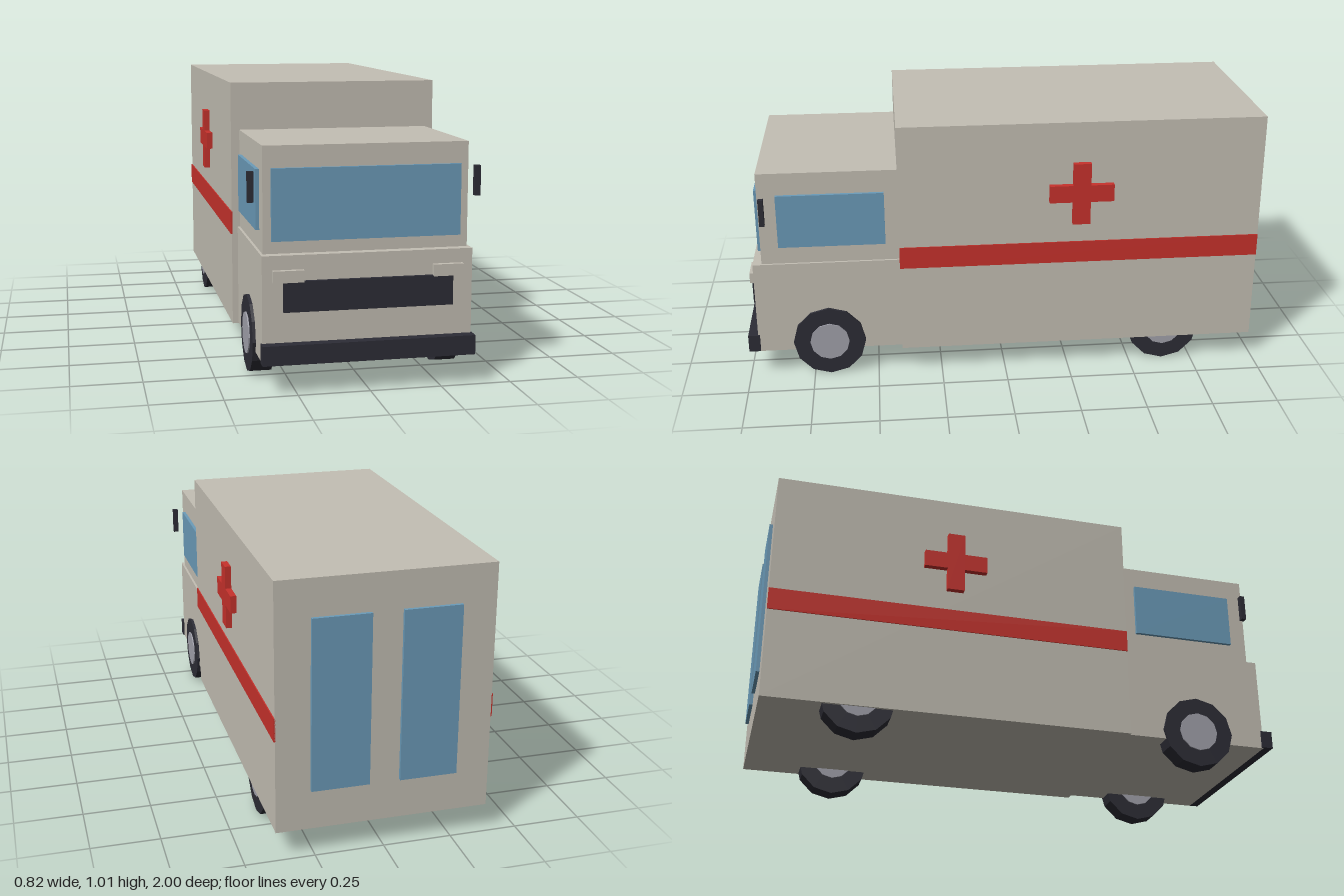
import * as THREE from 'three';

const mat = (name, color) => {
  const m = new THREE.MeshStandardMaterial({ color });
  m.name = name;
  return m;
};

export function createModel() {
  const van = new THREE.Group();
  van.name = 'ambulance';
  const body = mat('body beige', 0xc4bfb4);
  const red = mat('marking red', 0xc8322c);
  const glass = mat('window blue', 0x6c9cba);
  const dark = mat('rubber black', 0x2d2d36);
  const metal = mat('hub grey', 0xa2a2ac);

  // Box given by its extents on each axis
  const box = (name, m, x0, x1, y0, y1, z0, z1) => {
    const mesh = new THREE.Mesh(new THREE.BoxGeometry(x1 - x0, y1 - y0, z1 - z0), m);
    mesh.position.set((x0 + x1) / 2, (y0 + y1) / 2, (z0 + z1) / 2);
    mesh.name = name;
    van.add(mesh);
  };
  // The same box on both sides of the vehicle
  const pair = (name, m, x0, x1, ...rest) => {
    box(name + 'Left', m, x0, x1, ...rest);
    box(name + 'Right', m, -x1, -x0, ...rest);
  };

  // Body
  box('rearCompartment', body, -0.387, 0.387, 0.1, 1.01, -0.987, 0.405);
  box('cabLower', body, -0.365, 0.365, 0.104, 0.472, 0.4, 0.962);
  box('cabUpper', body, -0.356, 0.356, 0.47, 0.836, 0.4, 0.928);

  // Windows
  box('windshield', glass, -0.328, 0.328, 0.515, 0.761, 0.92, 0.941);
  pair('sideWindow', glass, 0.35, 0.369, 0.542, 0.75, 0.456, 0.86);
  pair('rearDoorWindow', glass, 0.055, 0.263, 0.248, 0.875, -1, -0.98);

  // Red stripe and crosses
  pair('sideStripe', red, 0.384, 0.391, 0.445, 0.531, -0.987, 0.405);
  pair('crossUpright', red, 0.38, 0.41, 0.61, 0.853, -0.322, -0.255);
  pair('crossArmFront', red, 0.38, 0.41, 0.7, 0.767, -0.255, -0.166);
  pair('crossArmRear', red, 0.38, 0.41, 0.7, 0.767, -0.411, -0.322);

  // Front details
  box('grille', dark, -0.294, 0.294, 0.28, 0.385, 0.955, 0.976);
  pair('headlight', body, 0.224, 0.33, 0.382, 0.423, 0.955, 0.98);
  box('bumper', dark, -0.37, 0.37, 0.106, 0.174, 0.955, 1);
  pair('mirror', dark, 0.384, 0.405, 0.646, 0.75, 0.901, 0.92);

  // Wheels with hubs slightly proud of the tyre
  const cylinder = (r, width) => new THREE.CylinderGeometry(r, r, width, 12).rotateZ(Math.PI / 2);
  const tyreGeometry = cylinder(0.14, 0.076);
  const hubGeometry = cylinder(0.076, 0.086);
  dark.flatShading = true;
  metal.flatShading = true;
  for (const [end, z] of [['front', 0.686], ['rear', -0.635]]) {
    for (const side of [1, -1]) {
      const wheel = new THREE.Group();
      wheel.name = end + 'Wheel' + (side > 0 ? 'Left' : 'Right');
      const tyre = new THREE.Mesh(tyreGeometry, dark);
      tyre.name = 'tyre';
      const hub = new THREE.Mesh(hubGeometry, metal);
      hub.name = 'hub';
      wheel.add(tyre, hub);
      wheel.position.set(side * 0.338, 0.14, z);
      van.add(wheel);
    }
  }
  return van;
}
